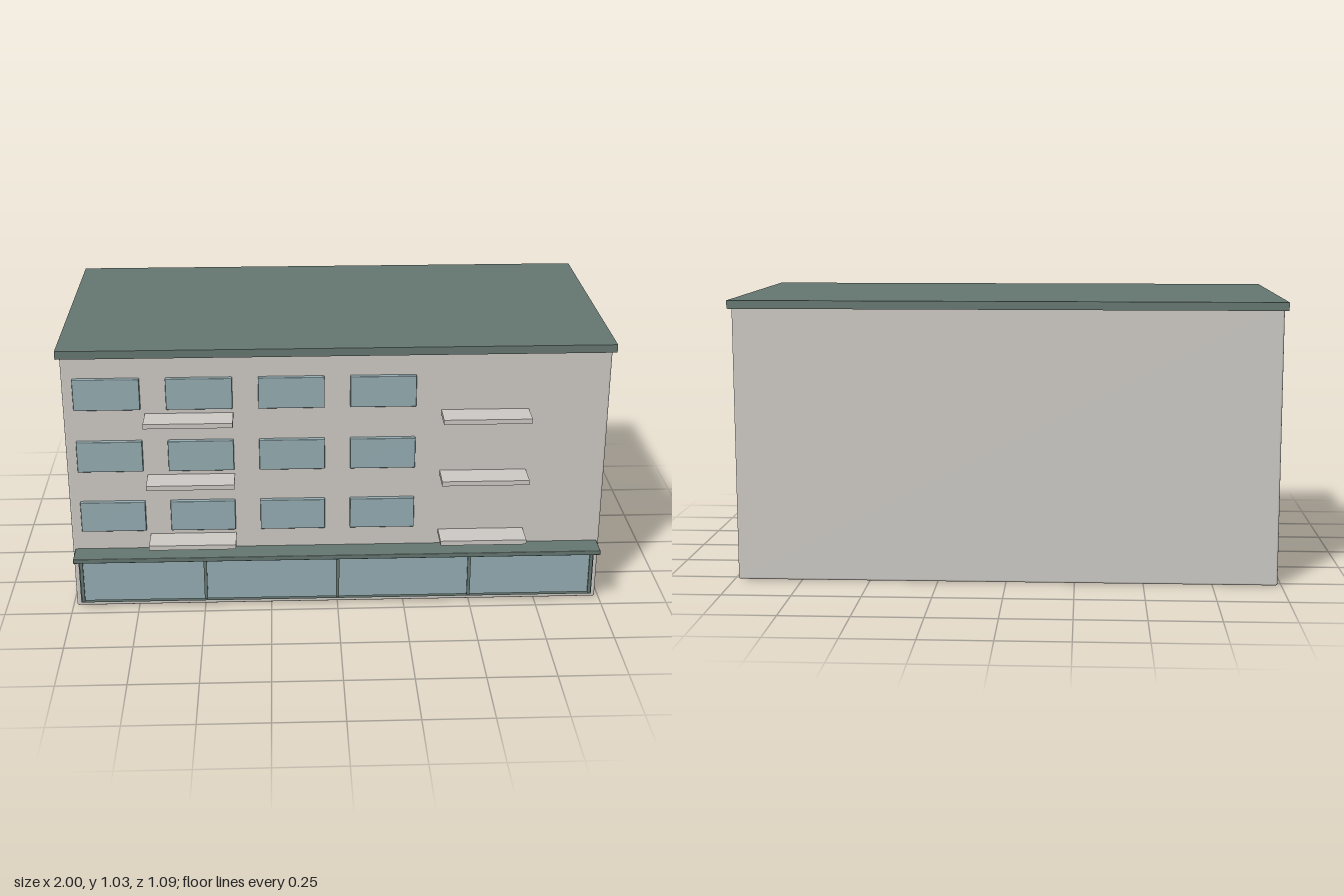
import * as THREE from 'three';
import { RoundedBoxGeometry } from 'three/addons/geometries/RoundedBoxGeometry.js';

const material = (name, color) => {
  const m = new THREE.MeshStandardMaterial({ color });
  m.name = name;
  return m;
};

export function createModel() {
  const model = new THREE.Group();
  model.name = 'building';
  const wall = material('warm grey wall', 0xcbc8c3);
  const trim = material('dark green grey trim', 0x64756f);
  const glass = material('pale blue glass', 0x93abb0);

  // Box given by its limits on each axis, with an optional rounded edge
  const box = (name, mat, [x0, x1], [y0, y1], [z0, z1], radius = 0) => {
    const size = [x1 - x0, y1 - y0, z1 - z0];
    const geometry = radius
      ? new RoundedBoxGeometry(...size, 2, radius)
      : new THREE.BoxGeometry(...size);
    const mesh = new THREE.Mesh(geometry, mat);
    mesh.name = name;
    mesh.position.set((x0 + x1) / 2, (y0 + y1) / 2, (z0 + z1) / 2);
    model.add(mesh);
  };

  const face = 0.442; // plane of the front wall

  // Main block and overhanging flat roof
  box('body', wall, [-0.986, 0.986], [0.002, 1.008], [-0.532, face], 0.008);
  box('roof', trim, [-1, 1], [1, 1.03], [-0.543, 0.453]);

  // Three upper floors: four windows and two balcony slabs each
  for (let floor = 0; floor < 3; floor++) {
    const y = 0.322 + floor * 0.2415;
    for (let i = 0; i < 4; i++) {
      const x = -0.946 + i * 0.3305;
      box('window', glass, [x, x + 0.238], [y, y + 0.118], [face - 0.015, 0.459], 0.003);
    }
    for (const x of [-0.535, 0.535]) {
      box('balconySlab', wall, [x - 0.159, x + 0.159], [y - 0.038, y - 0.02], [face - 0.005, 0.543]);
    }
  }

  // Ground floor shopfront: backing frame, glazing, posts and canopy
  box('shopFrame', trim, [-0.968, 0.968], [0.024, 0.228], [face - 0.005, 0.458]);
  box('shopGlass', glass, [-0.955, 0.955], [0.036, 0.215], [0.455, 0.464]);
  for (const x of [-0.957, -0.4955, 0, 0.4955, 0.957]) {
    box('shopPost', trim, [x - 0.006, x + 0.006], [0.036, 0.215], [0.45, 0.471]);
  }
  box('canopy', trim, [-0.977, 0.977], [0.226, 0.244], [face - 0.005, 0.529], 0.003);

  return model;
}
